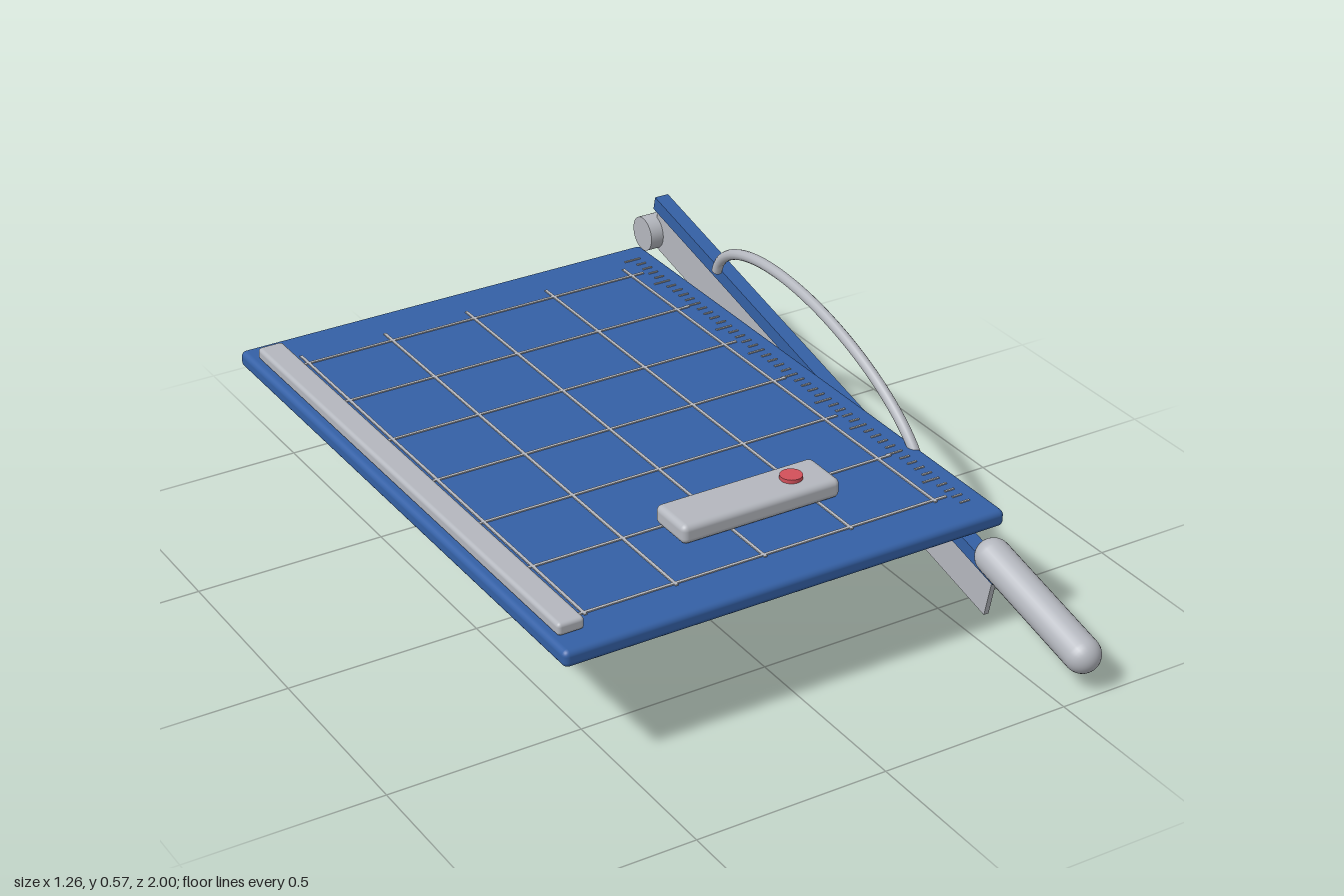
import * as THREE from 'three';
import { RoundedBoxGeometry } from 'three/addons/geometries/RoundedBoxGeometry.js';

const makeMaterial = (name, color) => {
  const m = new THREE.MeshStandardMaterial({ color });
  m.name = name;
  return m;
};

export function createModel() {
  const blue = makeMaterial('blue enamel', 0x3460a5);
  const grey = makeMaterial('light grey metal', 0xb4b7be);
  const red = makeMaterial('red plastic', 0xd2505a);

  const model = new THREE.Group();
  model.name = 'paperTrimmer';

  const add = (name, geometry, material, x, y, z, parent = model) => {
    const mesh = new THREE.Mesh(geometry, material);
    mesh.name = name;
    mesh.position.set(x, y, z);
    parent.add(mesh);
    return mesh;
  };
  // Box given by its limits on each axis, rounded when r > 0
  const block = (name, material, [x0, x1], [y0, y1], [z0, z1], r = 0, parent = model) => {
    const size = [x1 - x0, y1 - y0, z1 - z0];
    const geometry = r ? new RoundedBoxGeometry(...size, 3, r) : new THREE.BoxGeometry(...size);
    return add(name, geometry, material, (x0 + x1) / 2, (y0 + y1) / 2, (z0 + z1) / 2, parent);
  };

  // Board, paper stop and sliding clamp
  const top = 0.347;
  block('baseBoard', blue, [-0.635, 0.557], [0.303, top], [-0.995, 0.668], 0.015);
  block('paperStop', grey, [-0.615, -0.546], [top, 0.38], [-0.928, 0.605], 0.01);
  block('clamp', grey, [-0.177, 0.259], [top, 0.398], [0.29, 0.42], 0.016);
  add('clampButton', new THREE.CylinderGeometry(0.028, 0.028, 0.02, 24), red, 0.16, 0.398, 0.355);

  // Printed guide grid
  const lineY = [top - 0.002, top + 0.003];
  const grid = new THREE.Group();
  grid.name = 'guideGrid';
  model.add(grid);
  for (let i = 0; i < 5; i++) {
    const x = -0.516 + i * 0.2385;
    block('lengthLine', grey, [x - 0.004, x + 0.004], lineY, [-0.882, 0.555], 0, grid);
  }
  for (let i = 0; i < 7; i++) {
    const z = -0.838 + i * 0.2305;
    block('crossLine', grey, [-0.546, 0.474], lineY, [z - 0.004, z + 0.004], 0, grid);
  }

  // Ruler ticks along the cutting edge
  const ruler = new THREE.Group();
  ruler.name = 'rulerTicks';
  model.add(ruler);
  for (let i = 0; i < 50; i++) {
    const z = -0.918 + i * 0.0307;
    block('tick', grey, [i % 5 ? 0.484 : 0.464, 0.511], lineY, [z - 0.0025, z + 0.0025], 0, ruler);
  }

  // Hinge barrel across the back corner
  const hinge = add('hinge', new THREE.CylinderGeometry(0.047, 0.047, 0.088, 32), grey, 0.584, 0.4, -0.952);
  hinge.rotation.z = Math.PI / 2;

  // Cutting arm, pivoting at the hinge, pointing down toward the front
  const arm = new THREE.Group();
  arm.name = 'cuttingArm';
  arm.position.set(0.584, 0.4, -0.952);
  arm.rotation.x = 0.227;
  model.add(arm);
  block('armBar', blue, [-0.02, 0.02], [0.077, 0.115], [0, 1.6], 0, arm);
  block('blade', grey, [-0.007, 0.007], [-0.041, 0.08], [0.003, 1.584], 0, arm);
  const handle = add('handle', new THREE.CapsuleGeometry(0.046, 0.362, 10, 28), grey, 0, 0.129, 1.742, arm);
  handle.rotation.x = Math.PI / 2;

  // Arched finger guard beside the arm
  const arch = [];
  for (let i = 0; i <= 24; i++) {
    const t = (Math.PI * i) / 24;
    arch.push(new THREE.Vector3(0, 0.2 * Math.sin(t), 0.482 * Math.cos(t)));
  }
  const guardGeometry = new THREE.TubeGeometry(new THREE.CatmullRomCurve3(arch), 64, 0.014, 12);
  add('fingerGuard', guardGeometry, grey, -0.039, 0.125, 0.83, arm);
  for (const side of [1, -1]) {
    const cap = add('guardEnd', new THREE.CircleGeometry(0.014, 12), grey, -0.039, 0.125, 0.83 + side * 0.482, arm);
    cap.rotation.x = Math.PI / 2;
  }
  return model;
}
